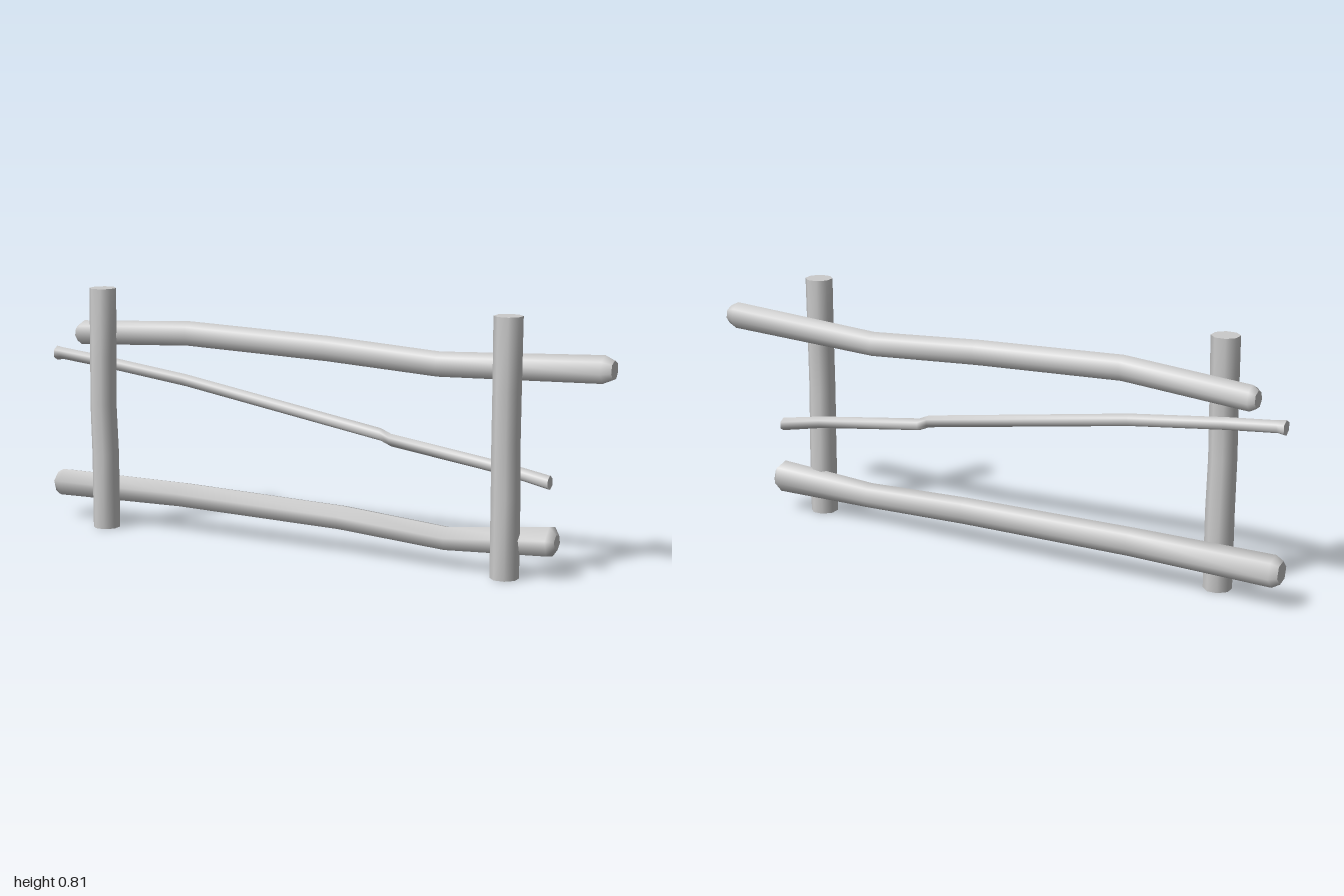
import * as THREE from 'three';

const material = new THREE.MeshStandardMaterial({ color: 0xcccccc });

// Log skinned through rings [x, y, z, radius] square to its main axis, with flat ends.
// The rings run towards + along the axis.
function makeLog(name, rings, sides, axis, turn = 0) {
  const [u, v] = axis === 'x'
    ? [new THREE.Vector3(0, 1, 0), new THREE.Vector3(0, 0, 1)]
    : [new THREE.Vector3(0, 0, 1), new THREE.Vector3(1, 0, 0)];
  const positions = [], index = [];
  const addRing = ([x, y, z, r]) => {
    const start = positions.length / 3;
    for (let i = 0; i < sides; i++) {
      const a = turn + (i / sides) * Math.PI * 2;
      const p = new THREE.Vector3(x, y, z)
        .addScaledVector(u, r * Math.cos(a))
        .addScaledVector(v, r * Math.sin(a));
      positions.push(p.x, p.y, p.z);
    }
    return start;
  };

  // Bark
  const starts = rings.map(addRing);
  for (let k = 0; k < starts.length - 1; k++) {
    for (let i = 0; i < sides; i++) {
      const j = (i + 1) % sides;
      const a = starts[k] + i, b = starts[k] + j;
      const c = starts[k + 1] + i, d = starts[k + 1] + j;
      index.push(a, b, d, a, d, c);
    }
  }

  // Sawn ends, on their own vertices so the rim stays sharp
  const first = addRing(rings[0]);
  const last = addRing(rings[rings.length - 1]);
  for (let i = 1; i < sides - 1; i++) {
    index.push(first, first + i + 1, first + i);
    index.push(last, last + i, last + i + 1);
  }

  const geometry = new THREE.BufferGeometry();
  geometry.setAttribute('position', new THREE.Float32BufferAttribute(positions, 3));
  geometry.setIndex(index);
  geometry.computeVertexNormals();
  const mesh = new THREE.Mesh(geometry, material);
  mesh.name = name;
  return mesh;
}

export function createModel() {
  const fence = new THREE.Group();
  fence.name = 'fence';

  // Two upright posts, slightly bowed forward
  for (const [name, x, bow] of [['rightPost', -0.765, 0.008], ['leftPost', 0.683, 0.004]]) {
    fence.add(makeLog(name, [
      [x, 0, 0.028, 0.045],
      [x, 0.25, 0.028, 0.045],
      [x, 0.42, 0.028 + bow, 0.044],
      [x, 0.58, 0.028 + bow / 2, 0.044],
      [x, 0.805, 0.028, 0.045],
    ], 8, 'y', Math.PI / 8));
  }

  // Thick crooked rails with chamfered ends
  fence.add(makeLog('topRail', [
    [-0.9, 0.64, -0.03, 0.028],
    [-0.88, 0.642, -0.03, 0.041],
    [-0.45, 0.669, -0.01, 0.041],
    [0.05, 0.653, -0.027, 0.041],
    [0.43, 0.631, -0.036, 0.04],
    [0.97, 0.656, -0.029, 0.044],
    [1, 0.656, -0.029, 0.03],
  ], 7, 'x'));

  fence.add(makeLog('bottomRail', [
    [-1, 0.118, -0.04, 0.036],
    [-0.975, 0.118, -0.04, 0.05],
    [-0.5, 0.123, -0.037, 0.045],
    [0.1, 0.114, -0.024, 0.043],
    [0.48, 0.094, 0, 0.041],
    [0.81, 0.116, -0.028, 0.052],
    [0.83, 0.116, -0.028, 0.025],
  ], 6, 'x', 0.3));

  // Thin sloping branch with a small knot
  fence.add(makeLog('middleRail', [
    [-0.99, 0.566, -0.026, 0.024],
    [-0.965, 0.566, -0.026, 0.02],
    [-0.8, 0.55, -0.025, 0.02],
    [-0.48, 0.512, -0.024, 0.02],
    [0.235, 0.396, -0.024, 0.02],
    [0.27, 0.381, -0.025, 0.02],
    [0.65, 0.329, -0.025, 0.02],
    [0.805, 0.299, -0.025, 0.022],
  ], 6, 'x'));

  return fence;
}
